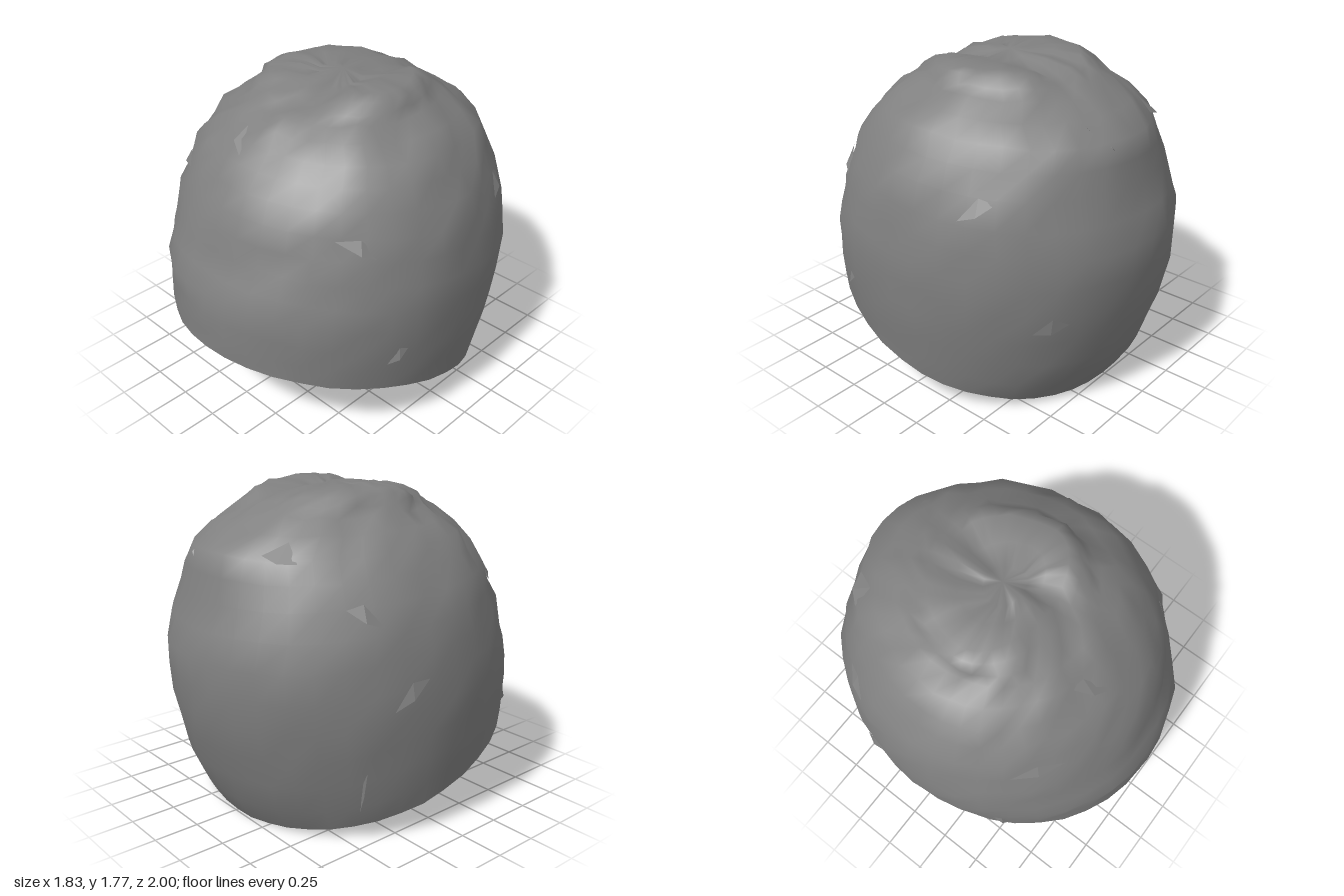
import * as THREE from 'three';

const cloth = new THREE.MeshStandardMaterial({ color: 0x808080, side: THREE.DoubleSide });
cloth.name = 'grey cloth';

// Profile by height: y, half width, front reach, back reach
const PROFILE = [
  [0.00, 0.80, 1.00, 0.74], [0.20, 0.855, 1.00, 0.86], [0.45, 0.895, 1.00, 0.93],
  [0.66, 0.917, 1.00, 0.985], [0.80, 0.922, 0.995, 0.99], [0.95, 0.907, 0.93, 0.995],
  [1.15, 0.88, 0.865, 0.925], [1.33, 0.805, 0.785, 0.885], [1.47, 0.715, 0.68, 0.84],
  [1.55, 0.66, 0.58, 0.72], [1.60, 0.57, 0.53, 0.65], [1.65, 0.485, 0.46, 0.58],
  [1.72, 0.455, 0.34, 0.48], [1.755, 0.38, 0.22, 0.41], [1.785, 0.0, 0.0, 0.0],
];
const TOP = 1.785;
const SEGMENTS = 40;
const LEVELS = [0, 0.08, 0.17, 0.26, 0.35, 0.44, 0.53, 0.61, 0.69, 0.76, 0.82, 0.87, 0.91, 0.94, 0.965, 0.98, 0.988, 0.994];

function profileAt(y) {
  let i = 0;
  while (i < PROFILE.length - 2 && y > PROFILE[i + 1][0]) i++;
  const a = PROFILE[i], b = PROFILE[i + 1];
  const k = THREE.MathUtils.clamp((y - a[0]) / (b[0] - a[0]), 0, 1);
  return a.map((v, n) => v + (b[n] - v) * k);
}

// Point on the shell: t runs from the slanted rim to the crown, a turns from the front to the left side
function shellPoint(t, a, out = 0) {
  const s = Math.sin(a), c = Math.cos(a);
  let x = 0, z = c * 0.9, y = 0;
  for (let n = 0; n < 14; n++) {
    y = THREE.MathUtils.lerp(Math.max(0, 0.204 + 0.276 * z), TOP, t);
    const [, width, front, back] = profileAt(y);
    x = width * s;
    z = 0.5 * z + 0.5 * c * (c > 0 ? front : back);
  }
  // Lengthwise dents in the crown
  const depth = THREE.MathUtils.smoothstep(y, 1.62, 1.74);
  y -= depth * (0.06 * Math.exp(-(((x - 0.1) / 0.09) ** 2)) + 0.03 * Math.exp(-(((x + 0.09) / 0.06) ** 2)));
  const dir = new THREE.Vector3(x, Math.max(0, y - 0.8), z).normalize();
  return new THREE.Vector3(x, y, z).addScaledVector(dir, out);
}

function makeRandom(seed) {
  return () => {
    seed = (seed * 16807) % 2147483647;
    return seed / 2147483647;
  };
}

function surface(points, index) {
  const g = new THREE.BufferGeometry();
  g.setAttribute('position', new THREE.Float32BufferAttribute(points.flatMap((p) => p.toArray()), 3));
  g.setIndex(index);
  g.computeVertexNormals();
  return g;
}

// Crumpled open shell, rougher towards the crown
function shellGeometry() {
  const random = makeRandom(77);
  const points = [], index = [];
  LEVELS.forEach((t, j) => {
    let rough = 0.007 + 0.015 * t * t;
    if (j === 0) rough = 0.004;
    if (t > 0.96) rough = 0.008;
    for (let i = 0; i < SEGMENTS; i++) {
      points.push(shellPoint(t, (i / SEGMENTS) * Math.PI * 2, (random() - 0.55) * 2 * rough));
    }
  });
  const top = points.length;
  points.push(new THREE.Vector3(0, 1.765, -0.04));
  for (let j = 0; j < LEVELS.length; j++) {
    for (let i = 0; i < SEGMENTS; i++) {
      const a = j * SEGMENTS + i, b = j * SEGMENTS + ((i + 1) % SEGMENTS);
      if (j === LEVELS.length - 1) index.push(a, b, top);
      else index.push(a, b, b + SEGMENTS, a, b + SEGMENTS, a + SEGMENTS);
    }
  }
  return surface(points, index);
}

// Small lifted crease: a narrow pleat between two points of the shell
function foldGeometry(t1, a1, t2, a2, lift) {
  const t = (t1 + t2) / 2, a = (a1 + a2) / 2;
  const p = shellPoint(t1, a1), q = shellPoint(t2, a2);
  const mid = shellPoint(t - 0.012, a, lift), under = shellPoint(t + 0.04, a);
  return surface([p, mid, q, p, under, mid, mid, under, q], [0, 1, 2, 3, 5, 4, 6, 8, 7]);
}

export function createModel() {
  const model = new THREE.Group();
  model.name = 'cap';
  const add = (name, geometry) => {
    const mesh = new THREE.Mesh(geometry, cloth);
    mesh.name = name;
    model.add(mesh);
  };
  add('shell', shellGeometry());

  // Pleats: start level and angle, end level and angle, height
  const folds = [
    [0.86, -0.32, 0.78, -0.04, 0.012], [0.62, -0.9, 0.64, -0.55, 0.01],
    [0.6, 0.75, 0.54, 1.05, 0.012], [0.12, 1.1, 0.2, 1.22, 0.02],
    [0.12, -0.95, 0.22, -1.05, 0.02], [0.62, 2.0, 0.68, 2.2, 0.015],
    [0.63, -2.0, 0.69, -2.2, 0.015], [0.86, 2.8, 0.77, 3.0, 0.015],
    [0.83, -2.7, 0.81, -2.45, 0.015], [0.06, -2.15, 0.2, -2.1, 0.015],
    [0.3, 2.4, 0.33, 2.6, 0.012], [0.45, -1.75, 0.38, -1.95, 0.012],
  ];
  folds.forEach(([t1, a1, t2, a2, lift]) => add('fold', foldGeometry(t1, a1, t2, a2, lift)));
  return model;
}
